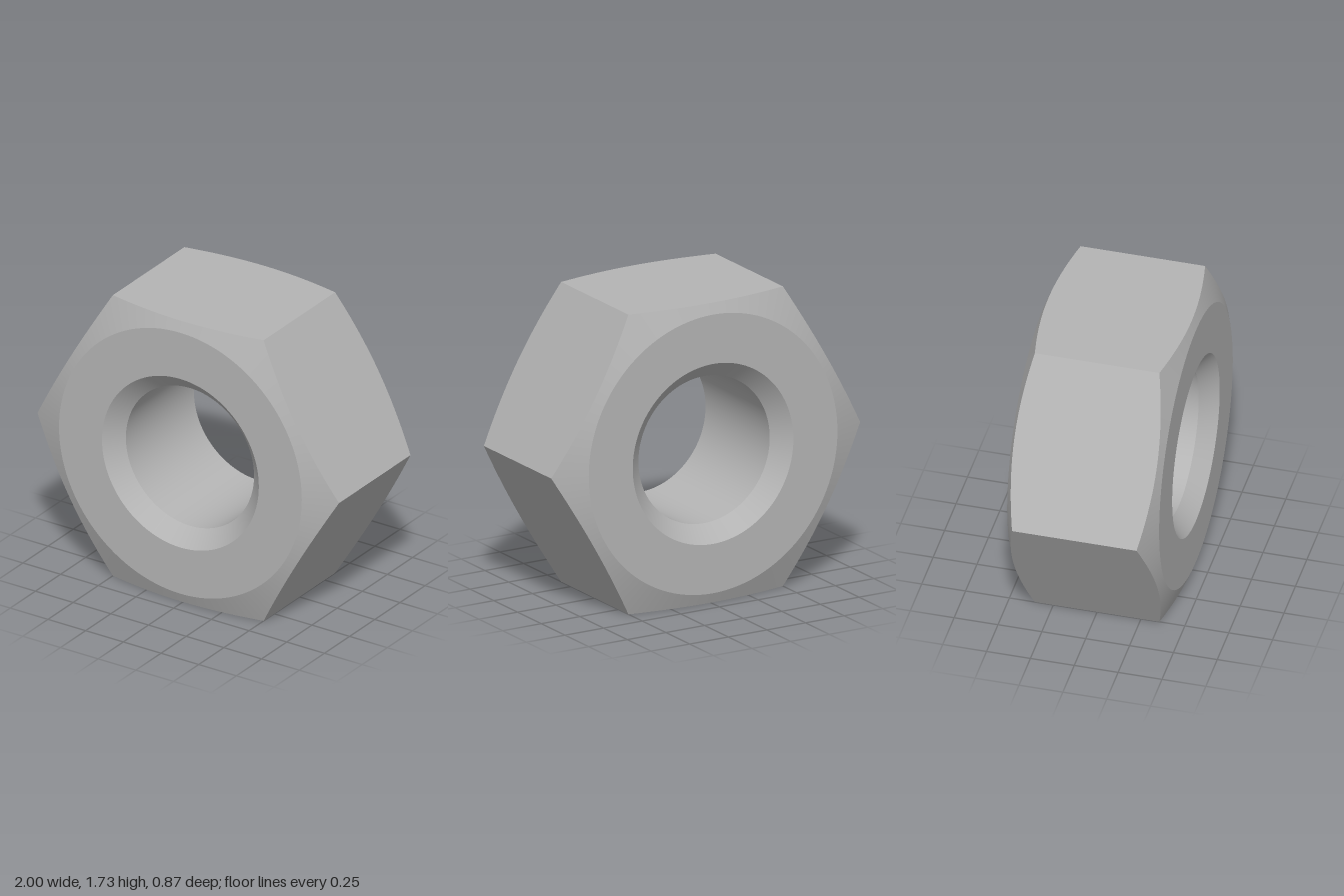
import * as THREE from 'three';

const SEGMENTS = 120;            // a multiple of 12, so the hexagon corners fall on vertices
const APOTHEM = Math.sqrt(3) / 2;
const HALF = 0.433;              // half thickness
const FACE_R = 0.805;            // round flat face
const SLOPE = 0.4;               // drop of the corner chamfer per unit of radius
const RIM = HALF - (1 - FACE_R) * SLOPE;
const MOUTH_R = 0.52;            // wide end of the countersink
const BORE_R = 0.425;
const BORE_Z = HALF - (MOUTH_R - BORE_R);

// Radius of the hexagon in a given direction
function hexRadius(angle) {
  const sector = Math.PI / 3;
  return APOTHEM / Math.cos(angle - Math.round(angle / sector) * sector);
}

// Revolve one straight profile segment; points out at radius 1 are pulled in to the hexagon
function revolve(from, to) {
  const geometry = new THREE.LatheGeometry(
    [new THREE.Vector2(...from), new THREE.Vector2(...to)], SEGMENTS);
  const p = geometry.attributes.position;
  for (let i = 0; i < p.count; i++) {
    const x = p.getX(i), z = p.getZ(i);
    if (Math.hypot(x, z) < 0.99) continue;
    const angle = Math.atan2(x, z);
    const r = hexRadius(angle);
    const y = Math.sign(p.getY(i)) * (HALF - (r - FACE_R) * SLOPE);
    p.setXYZ(i, r * Math.sin(angle), y, r * Math.cos(angle));
  }
  return geometry;
}

export function createModel() {
  const group = new THREE.Group();
  group.name = 'hexNut';
  const steel = new THREE.MeshStandardMaterial({ color: 0xb4b4b4 });
  steel.name = 'steel grey';

  function add(name, geometry) {
    geometry.rotateX(Math.PI / 2);
    geometry.translate(0, APOTHEM, 0);
    const mesh = new THREE.Mesh(geometry, steel);
    mesh.name = name;
    group.add(mesh);
  }

  // Six flats, with curved ends where they meet the chamfer
  const flats = revolve([1, -RIM], [1, RIM]).toNonIndexed();
  flats.computeVertexNormals();
  add('hexFlats', flats);

  // Front end
  add('frontChamfer', revolve([1, RIM], [FACE_R, HALF]));
  add('frontFace', revolve([FACE_R, HALF], [MOUTH_R, HALF]));
  add('frontCountersink', revolve([MOUTH_R, HALF], [BORE_R, BORE_Z]));

  // Through hole
  add('bore', revolve([BORE_R, BORE_Z], [BORE_R, -BORE_Z]));

  // Back end
  add('backCountersink', revolve([BORE_R, -BORE_Z], [MOUTH_R, -HALF]));
  add('backFace', revolve([MOUTH_R, -HALF], [FACE_R, -HALF]));
  add('backChamfer', revolve([FACE_R, -HALF], [1, -RIM]));

  return group;
}
